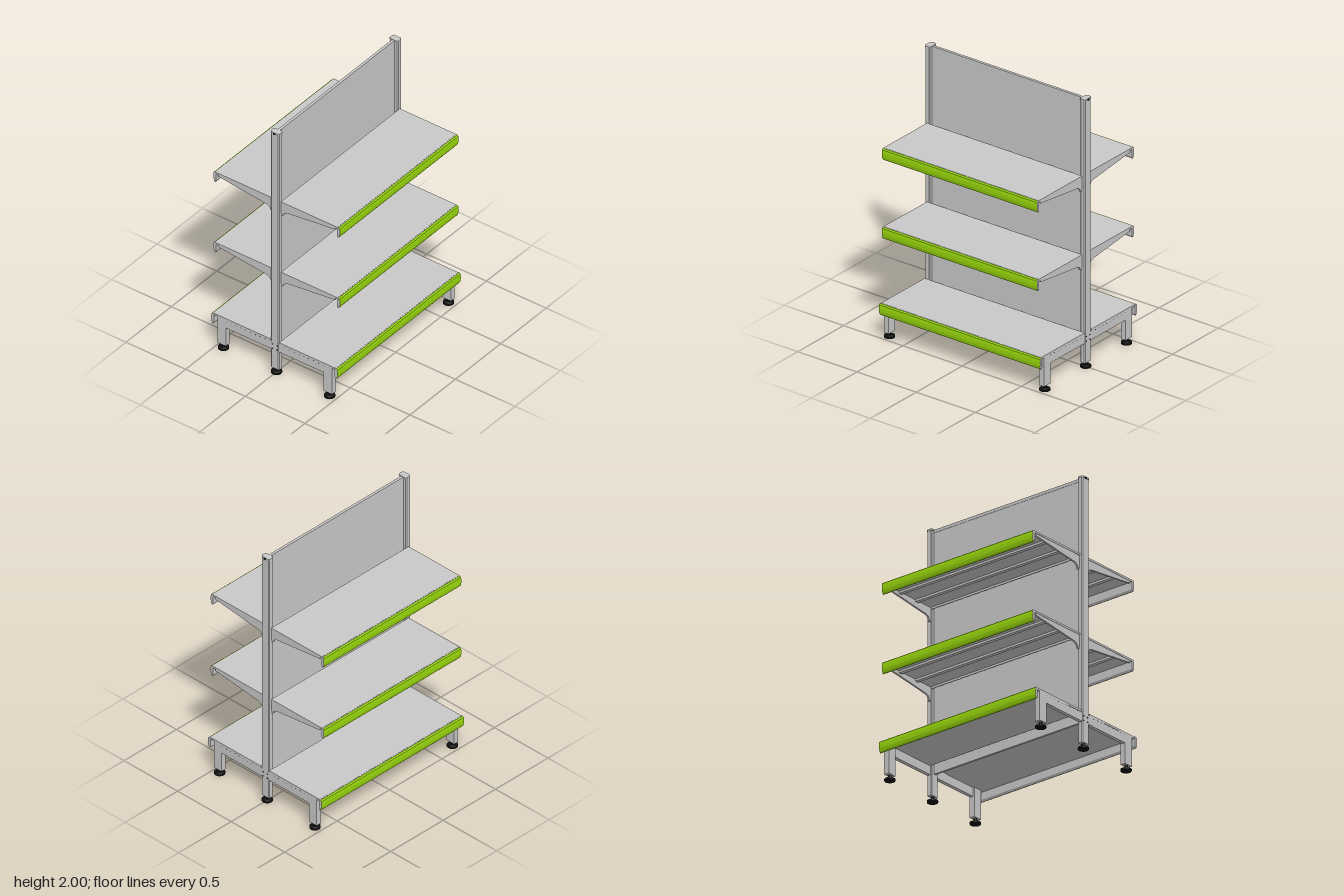
import * as THREE from 'three';

const mat = (name, color) => new THREE.MeshStandardMaterial({ name, color });

export function createModel() {
  const grey = mat('light grey metal', 0xc8c8c8);
  const green = mat('green trim', 0x99d80c);
  const black = mat('black rubber', 0x101010);
  const root = new THREE.Group();
  root.name = 'doubleSidedShelfRack';

  const add = (parent, name, geometry, material, x = 0, y = 0, z = 0) => {
    const mesh = new THREE.Mesh(geometry, material);
    mesh.name = name;
    mesh.position.set(x, y, z);
    parent.add(mesh);
    return mesh;
  };
  // box given by its limits on each axis
  const box = (parent, name, material, x0, x1, y0, y1, z0, z1) =>
    add(parent, name, new THREE.BoxGeometry(x1 - x0, y1 - y0, z1 - z0), material,
      (x0 + x1) / 2, (y0 + y1) / 2, (z0 + z1) / 2);
  // outline in x and y, extruded along z and centred on it
  const slab = (shape, depth) =>
    new THREE.ExtrudeGeometry(shape, { depth, bevelEnabled: false, curveSegments: 8 })
      .translate(0, 0, -depth / 2);
  const outline = pts => new THREE.Shape(pts.map(p => new THREE.Vector2(...p)));

  // levelling foot
  const footGeometry = new THREE.LatheGeometry(
    [[0, 0], [0.038, 0], [0.038, 0.012], [0.024, 0.019], [0.012, 0.02], [0.012, 0.042], [0, 0.042]]
      .map(p => new THREE.Vector2(...p)), 20);
  footGeometry.deleteAttribute('normal');
  const footFlat = footGeometry.toNonIndexed();
  footFlat.computeVertexNormals();
  const foot = (parent, x, z) => add(parent, 'foot', footFlat, black, x, 0, z);

  // price strip: bowed front edge, measured down from the shelf top
  const bow = [[0.519, 0], [0.528, -0.008], [0.53, -0.03], [0.529, -0.055], [0.524, -0.075], [0.517, -0.085]];
  const strip = (parent, y, half) => {
    const inner = bow.map(([x, v]) => [x - 0.003, v]);
    add(parent, 'priceStripBody', slab(outline([[0.506, -0.002], [0.506, -0.07], ...inner.slice().reverse()]), half * 2), grey, 0, y);
    const skin = slab(outline([...bow.slice().reverse(), ...inner]), half * 2 - 0.002);
    add(parent, 'priceStripFace', skin, [grey, green], 0, y);
  };

  // cantilever bracket, measured down from the shelf top
  const arm = new THREE.Shape();
  arm.moveTo(0.04, -0.002);
  arm.lineTo(0.04, -0.118);
  arm.quadraticCurveTo(0.05, -0.118, 0.056, -0.1);
  arm.quadraticCurveTo(0.064, -0.08, 0.09, -0.076);
  arm.lineTo(0.488, -0.03);
  arm.lineTo(0.488, -0.002);
  const armGeometry = slab(arm, 0.014);

  const side = new THREE.Group();
  side.name = 'shelfSide';

  // upper shelves
  for (const y of [0.845, 1.43]) {
    const shelf = new THREE.Group();
    shelf.name = 'upperShelf';
    side.add(shelf);
    box(shelf, 'shelfBoard', grey, 0.037, 0.51, y - 0.014, y, -0.655, 0.655);
    box(shelf, 'backLip', grey, 0.037, 0.043, y - 0.03, y - 0.014, -0.635, 0.635);
    for (const x of [0.19, 0.36])
      box(shelf, 'stiffener', grey, x - 0.014, x + 0.014, y - 0.03, y - 0.014, -0.635, 0.635);
    for (const s of [-1, 1]) {
      add(shelf, 'bracket', armGeometry, grey, 0, y, s * 0.645);
      box(shelf, 'bracketHook', grey, 0.02, 0.041, y - 0.1, y - 0.02, s * 0.645 - 0.005, s * 0.645 + 0.005);
    }
    strip(shelf, y, 0.655);
  }

  // base shelf with end beams and outer legs
  const base = new THREE.Group();
  base.name = 'baseShelf';
  side.add(base);
  box(base, 'baseBoard', grey, 0.037, 0.51, 0.255, 0.27, -0.675, 0.675);
  for (const s of [-1, 1]) {
    box(base, 'endBeam', grey, 0.03, 0.48, 0.19, 0.255, s * 0.66 - 0.014, s * 0.66 + 0.014);
    box(base, 'outerLeg', grey, 0.41, 0.48, 0.04, 0.255, s * 0.655 - 0.02, s * 0.655 + 0.02);
    foot(base, 0.445, s * 0.655);
    // row of small slots along the beam
    for (let i = 0; i < 9; i++)
      box(base, 'beamSlot', black, 0.08 + i * 0.04, 0.088 + i * 0.04, 0.247, 0.25, s * 0.674 - 0.0005, s * 0.674 + 0.0005);
  }
  strip(base, 0.27, 0.68);

  const otherSide = side.clone();
  otherSide.rotation.y = Math.PI;
  root.add(side, otherSide);

  // uprights with chamfered corners
  const octagon = (w, d, c) => outline([[-w, -d + c], [-w + c, -d], [w - c, -d], [w, -d + c],
    [w, d - c], [w - c, d], [-w + c, d], [-w, d - c]]);
  for (const s of [-1, 1]) {
    const upright = new THREE.Group();
    upright.name = 'upright';
    root.add(upright);
    add(upright, 'post', slab(octagon(0.035, 0.02, 0.006), 1.95).rotateX(Math.PI / 2), grey, 0, 1.015, s * 0.655);
    add(upright, 'postCap', slab(octagon(0.037, 0.024, 0.009), 0.012).rotateX(Math.PI / 2), grey, 0, 1.994, s * 0.655);
    box(upright, 'capNotch', black, -0.01, 0.01, 1.983, 1.998, s * 0.679 - 0.001, s * 0.679 + 0.001);
    for (const x of [-0.02, 0.02])
      for (const y of [0.2, 0.235])
        add(upright, 'bolt', new THREE.CylinderGeometry(0.005, 0.005, 0.004, 10).rotateX(Math.PI / 2), black, x, y, s * 0.675);
    foot(upright, 0, s * 0.655);
  }

  // centre back panel with top rail
  box(root, 'backPanel', grey, -0.008, 0.008, 0.2, 1.985, -0.637, 0.637);
  box(root, 'topRail', grey, -0.01, 0.01, 1.975, 1.997, -0.637, 0.637);

  return root;
}
